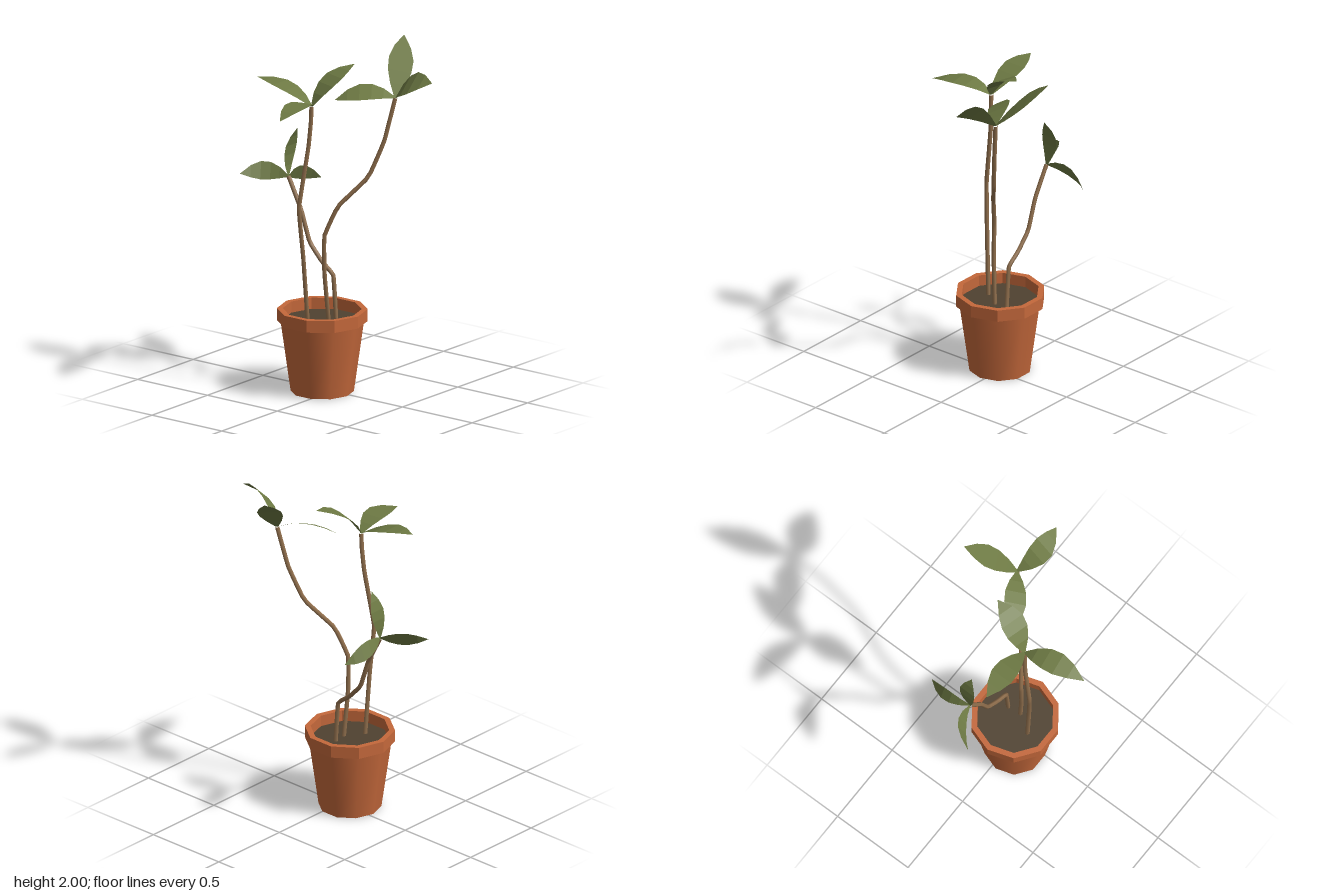
import * as THREE from 'three';

const mat = (name, color, extra = {}) => {
  const m = new THREE.MeshStandardMaterial({ color, ...extra });
  m.name = name;
  return m;
};

const SIDES = 10;

// Faceted copy of a geometry
function faceted(geometry) {
  const g = geometry.index ? geometry.toNonIndexed() : geometry;
  g.computeVertexNormals();
  return g;
}

function addMesh(parent, name, geometry, material) {
  const mesh = new THREE.Mesh(geometry, material);
  mesh.name = name;
  parent.add(mesh);
  return mesh;
}

// Thin stem following a bent line, straight between its joints
function stemGeometry(points) {
  const path = new THREE.CatmullRomCurve3(points.map(p => new THREE.Vector3(...p)), false, 'catmullrom', 0.12);
  return new THREE.TubeGeometry(path, 28, 0.013, 5);
}

// Arched leaf blade: midrib through base, mid and tip, spread along the side vector
function leafGeometry(base, mid, tip, side) {
  const [b, m, t, s] = [base, mid, tip, side].map(p => new THREE.Vector3(...p));
  const control = m.clone().multiplyScalar(2).addScaledVector(b, -0.5).addScaledVector(t, -0.5);
  const rib = new THREE.QuadraticBezierCurve3(b, control, t);
  const widths = [0.1, 0.62, 0.95, 1, 0.66, 0.02];
  const positions = [], index = [];
  widths.forEach((w, i) => {
    const p = rib.getPoint(i / (widths.length - 1));
    for (const k of [-w, w]) positions.push(...p.clone().addScaledVector(s, k).toArray());
    if (i > 0) {
      const a = 2 * (i - 1);
      index.push(a, a + 1, a + 2, a + 1, a + 3, a + 2);
    }
  });
  const g = new THREE.BufferGeometry();
  g.setAttribute('position', new THREE.Float32BufferAttribute(positions, 3));
  g.setIndex(index);
  return faceted(g);
}

export function createModel() {
  const terracotta = mat('terracotta', 0xc4683b);
  const soil = mat('soil', 0x504230);
  const bark = mat('bark', 0x94724f);
  const foliage = mat('leaf green', 0x6e7a44, { side: THREE.DoubleSide });

  const plant = new THREE.Group();
  plant.name = 'pottedPlant';

  // Pot with a raised rim and soil inside
  const pot = new THREE.Group();
  pot.name = 'pot';
  pot.position.set(-0.053, 0, 0.027);
  pot.rotation.y = Math.PI / 2;
  plant.add(pot);
  addMesh(pot, 'potBody', new THREE.CylinderGeometry(0.235, 0.178, 0.41, SIDES), terracotta).position.y = 0.205;
  const rim = [[0.225, 0.41], [0.255, 0.41], [0.255, 0.48], [0.222, 0.48], [0.222, 0.405]];
  addMesh(pot, 'potRim',
    faceted(new THREE.LatheGeometry(rim.map(p => new THREE.Vector2(...p)), SIDES)), terracotta);
  const bed = new THREE.CylinderGeometry(0.222, 0.222, 0.006, SIDES);
  addMesh(pot, 'soilBed', bed, soil).position.y = 0.412;

  // Each branch: stem joints, then leaves as [mid, tip, side]
  const branches = [
    {
      name: 'middleBranch',
      stem: [[-0.073, 0.41, 0.13], [-0.088, 0.8, 0.152], [-0.105, 1.09, 0.17],
        [-0.078, 1.44, 0.118], [-0.068, 1.6, 0.107], [-0.067, 1.68, 0.105]],
      leaves: [
        [[-0.25, 1.772, 0.11], [-0.44, 1.79, 0.125], [0, 0, 0.068]],
        [[-0.03, 1.735, 0.27], [0, 1.69, 0.475], [0.068, 0, -0.01]],
        [[-0.018, 1.82, 0.0], [0.03, 1.885, -0.16], [0.07, 0, 0.02]],
      ],
    },
    {
      name: 'tallBranch',
      stem: [[-0.005, 0.41, 0.027], [-0.02, 0.7, 0.047], [-0.022, 0.915, 0.045], [0.04, 1.09, 0],
        [0.17, 1.26, -0.11], [0.237, 1.47, -0.17], [0.28, 1.72, -0.215]],
      leaves: [
        [[0.42, 1.838, -0.158], [0.578, 1.87, -0.168], [0, -0.052, 0.054]],
        [[0.212, 1.87, -0.345], [0.133, 2.0, -0.478], [0.062, -0.012, -0.033]],
        [[0.14, 1.752, -0.12], [0.0, 1.7, -0.02], [0.036, -0.03, 0.05]],
      ],
    },
    {
      name: 'lowBranch',
      stem: [[-0.015, 0.41, -0.05], [-0.035, 0.66, -0.05], [-0.115, 0.725, -0.05],
        [-0.205, 0.825, -0.05], [-0.265, 1.0, -0.05], [-0.36, 1.18, -0.055]],
      leaves: [
        [[-0.39, 1.165, -0.2], [-0.348, 1.11, -0.335], [-0.018, -0.043, 0]],
        [[-0.363, 1.33, -0.075], [-0.315, 1.465, -0.078], [0, 0, 0.05]],
        [[-0.49, 1.2, -0.012], [-0.582, 1.19, 0.103], [0.012, -0.047, 0.02]],
      ],
    },
  ];

  for (const { name, stem, leaves } of branches) {
    const branch = new THREE.Group();
    branch.name = name;
    plant.add(branch);
    addMesh(branch, 'stem', stemGeometry(stem), bark);
    const node = stem[stem.length - 1];
    leaves.forEach((l, i) => addMesh(branch, `leaf${i + 1}`, leafGeometry(node, ...l), foliage));
  }

  return plant;
}
